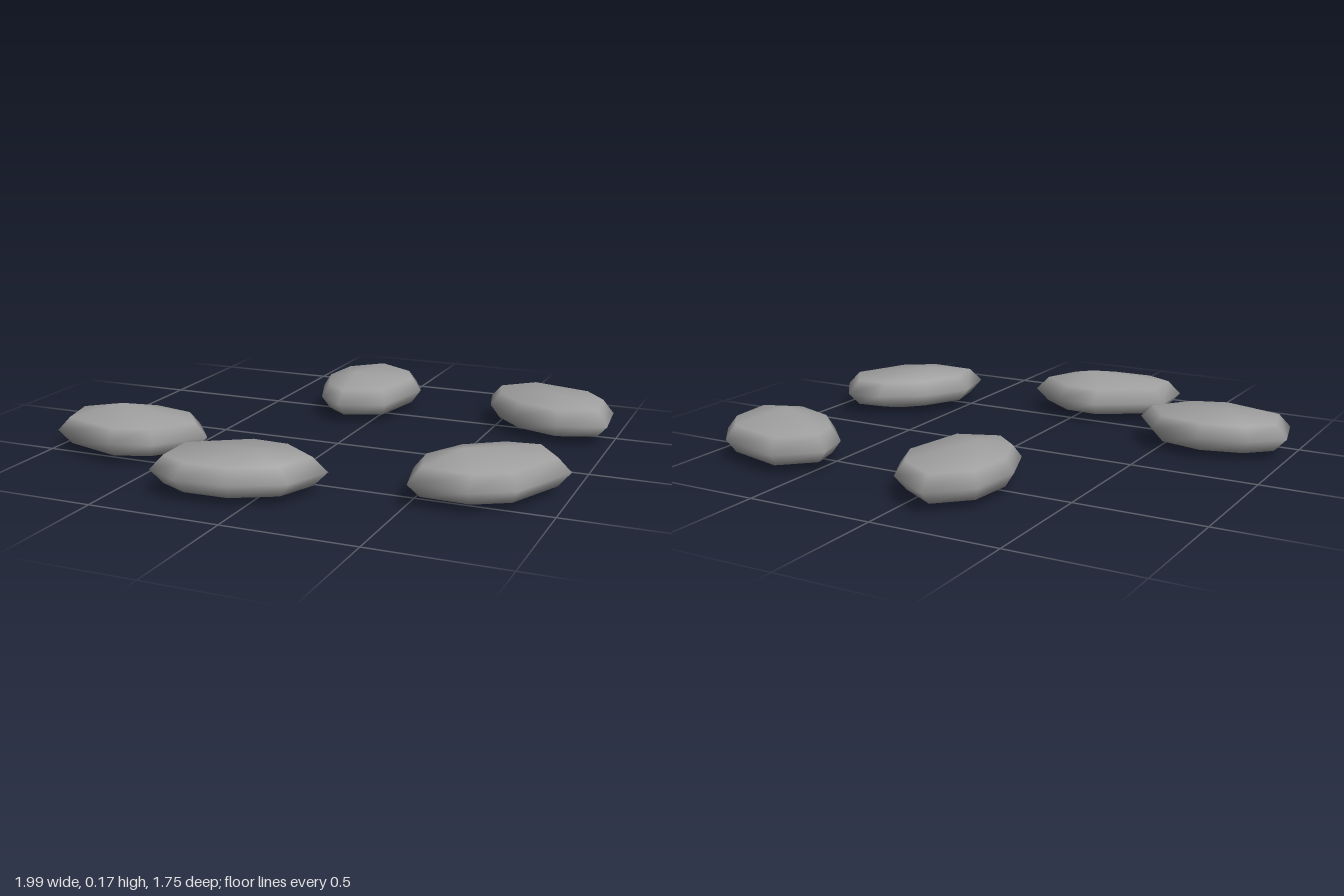
import * as THREE from 'three';

// Irregular eight-sided outline of a pebble (x, z), its widest section
const OUTLINE = [
  [-0.284, -0.069], [-0.034, -0.229], [0.136, -0.219], [0.311, -0.089],
  [0.241, 0.091], [0.056, 0.191], [-0.144, 0.196], [-0.279, 0.126],
];
const TOP = [0.086, 0.085, 0.011];
const BOTTOM = [-0.054, -0.085, 0.051];
// Cross-sections from top to bottom: height and scale of the outline
const RINGS = [[0.054, 0.83], [0, 1], [-0.051, 0.84]];

// Rounded flat pebble: three rings closed by an off-centre point at each end
function pebbleGeometry() {
  const n = OUTLINE.length;
  const positions = [...TOP];
  for (const [y, s] of RINGS) {
    for (const [x, z] of OUTLINE) positions.push(x * s, y, z * s);
  }
  positions.push(...BOTTOM);

  const at = (ring, i) => 1 + ring * n + (i % n);
  const last = 1 + RINGS.length * n;
  const index = [];
  for (let i = 0; i < n; i++) {
    index.push(0, at(0, i + 1), at(0, i));
    for (let r = 0; r < RINGS.length - 1; r++) {
      const a = at(r, i), b = at(r, i + 1), c = at(r + 1, i), d = at(r + 1, i + 1);
      index.push(d, c, a, d, a, b);
    }
    index.push(last, at(RINGS.length - 1, i), at(RINGS.length - 1, i + 1));
  }

  const geometry = new THREE.BufferGeometry();
  geometry.setAttribute('position', new THREE.Float32BufferAttribute(positions, 3));
  geometry.setIndex(index);
  geometry.computeVertexNormals();
  return geometry;
}

export function createModel() {
  const group = new THREE.Group();
  group.name = 'pebbles';
  const stone = new THREE.MeshStandardMaterial({ color: 0xa0a0a0 });
  stone.name = 'stone grey';
  const geometry = pebbleGeometry();

  // The same pebble laid in a loose circle, two of them turned over
  const placements = [
    { name: 'frontPebble', x: -0.096, z: 0.679, turn: 0, flipped: false },
    { name: 'frontLeftPebble', x: 0.72, z: 0.364, turn: -146, flipped: false },
    { name: 'backLeftPebble', x: 0.718, z: -0.526, turn: -48.4, flipped: false },
    { name: 'frontRightPebble', x: -0.698, z: 0.377, turn: 15, flipped: true },
    { name: 'backPebble', x: -0.095, z: -0.557, turn: 112.3, flipped: true },
  ];
  for (const { name, x, z, turn, flipped } of placements) {
    const pebble = new THREE.Mesh(geometry, stone);
    pebble.name = name;
    pebble.position.set(x, 0.085, z);
    pebble.rotation.set(flipped ? Math.PI : 0, THREE.MathUtils.degToRad(turn), 0, 'YXZ');
    group.add(pebble);
  }
  return group;
}
